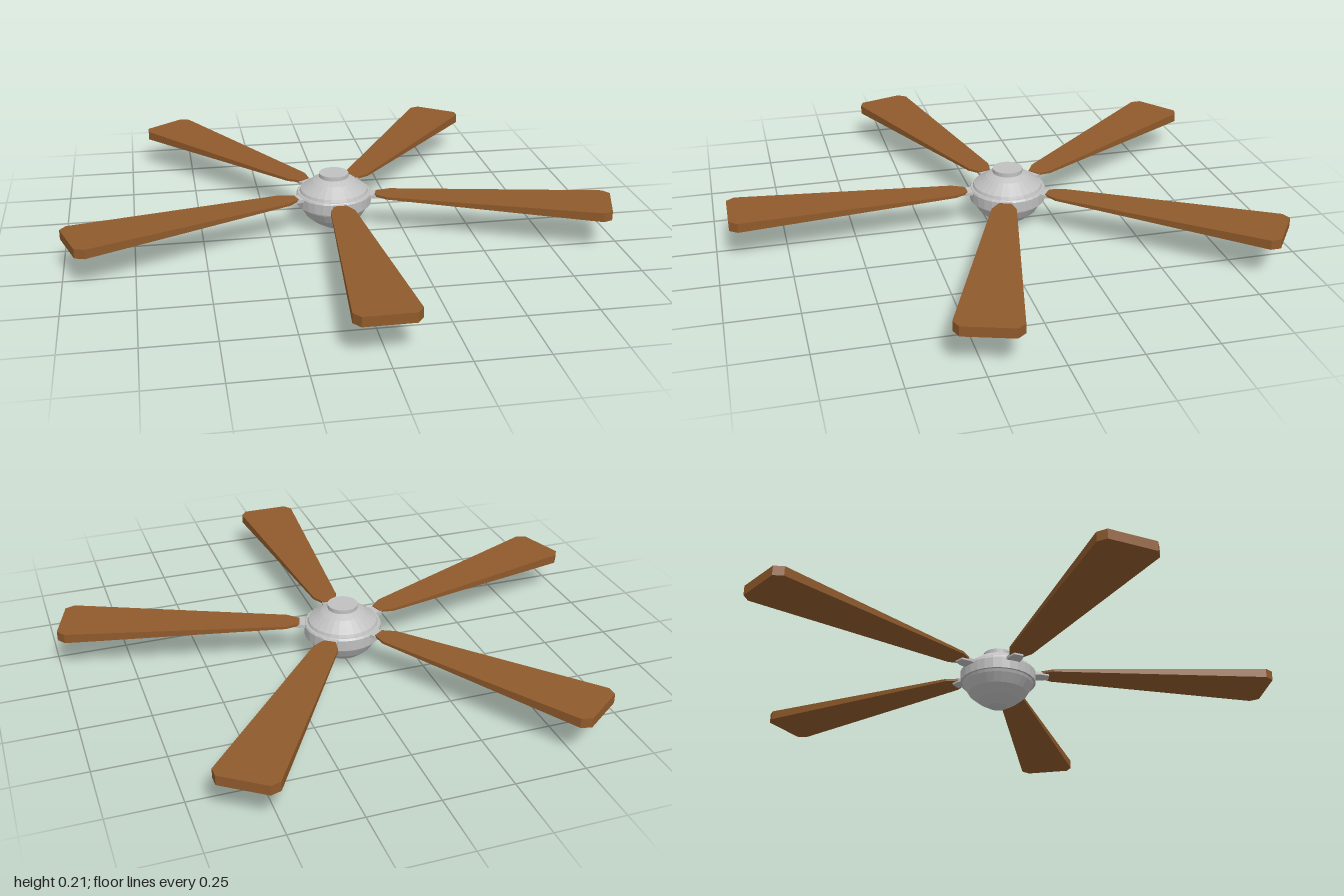
import * as THREE from 'three';

const wood = new THREE.MeshStandardMaterial({ color: 0x8f5a2b, name: 'wood' });
const metal = new THREE.MeshStandardMaterial({ color: 0xc0c0c0, name: 'brushedMetal', flatShading: true });

const BLADES = 5;
const BLADE_Y = 0.138;

function mesh(name, geometry, material) {
  const m = new THREE.Mesh(geometry, material);
  m.name = name;
  return m;
}

// Turned part from [radius, height] points, listed bottom to top
function turned(name, points) {
  const profile = points.map(([r, y]) => new THREE.Vector2(r, y));
  return mesh(name, new THREE.LatheGeometry(profile, 28), metal);
}

// Mirrored outline in the plan, from [half width, distance from hub axis] points
function plate(outline, halfThickness) {
  const right = outline.map(([w, r]) => new THREE.Vector2(w, r));
  const left = outline.map(([w, r]) => new THREE.Vector2(-w, r)).reverse();
  const geometry = new THREE.ExtrudeGeometry(new THREE.Shape([...right, ...left]), { depth: 1, bevelEnabled: false });
  geometry.translate(0, 0, -0.5);
  geometry.rotateX(Math.PI / 2);
  const p = geometry.attributes.position;
  for (let i = 0; i < p.count; i++) p.setY(i, p.getY(i) * 2 * halfThickness(p.getZ(i)));
  geometry.computeVertexNormals();
  return geometry;
}

export function createModel() {
  const fan = new THREE.Group();
  fan.name = 'ceilingFan';

  // Motor housing: bowl, middle band, dome and mounting cap
  fan.add(
    turned('lowerBowl', [[0, 0], [0.035, 0], [0.075, 0.024], [0.108, 0.052], [0.128, 0.085], [0.133, 0.098], [0, 0.098]]),
    turned('middleBand', [[0, 0.095], [0.14, 0.095], [0.141, 0.135], [0.136, 0.142], [0, 0.142]]),
    turned('upperDome', [[0.13, 0.14], [0.125, 0.152], [0.1, 0.17], [0.08, 0.185], [0.055, 0.198], [0, 0.198]]),
    turned('mountingCap', [[0.055, 0.195], [0.055, 0.213], [0, 0.213]])
  );

  // Blades thicken evenly towards the tip
  const bladeGeometry = plate(
    [[0.022, 0.157], [0.045, 0.205], [0.11, 0.995], [0.087, 1.025]],
    r => 0.004 + 0.0135 * (r - 0.157) / 0.868
  );
  const bracketGeometry = plate([[0.026, 0.12], [0.026, 0.16], [0.018, 0.19]], () => 0.006);

  for (let i = 0; i < BLADES; i++) {
    const arm = new THREE.Group();
    arm.name = 'bladeArm' + (i + 1);
    arm.rotation.y = i * Math.PI * 2 / BLADES;
    const blade = mesh('blade', bladeGeometry, wood);
    blade.position.y = BLADE_Y;
    const bracket = mesh('bracket', bracketGeometry, metal);
    bracket.position.y = BLADE_Y - 0.005;
    arm.add(blade, bracket);
    fan.add(arm);
  }

  // The hub sits behind the centre of the whole model
  fan.position.z = -0.075;
  const root = new THREE.Group();
  root.name = 'model';
  root.add(fan);
  return root;
}
